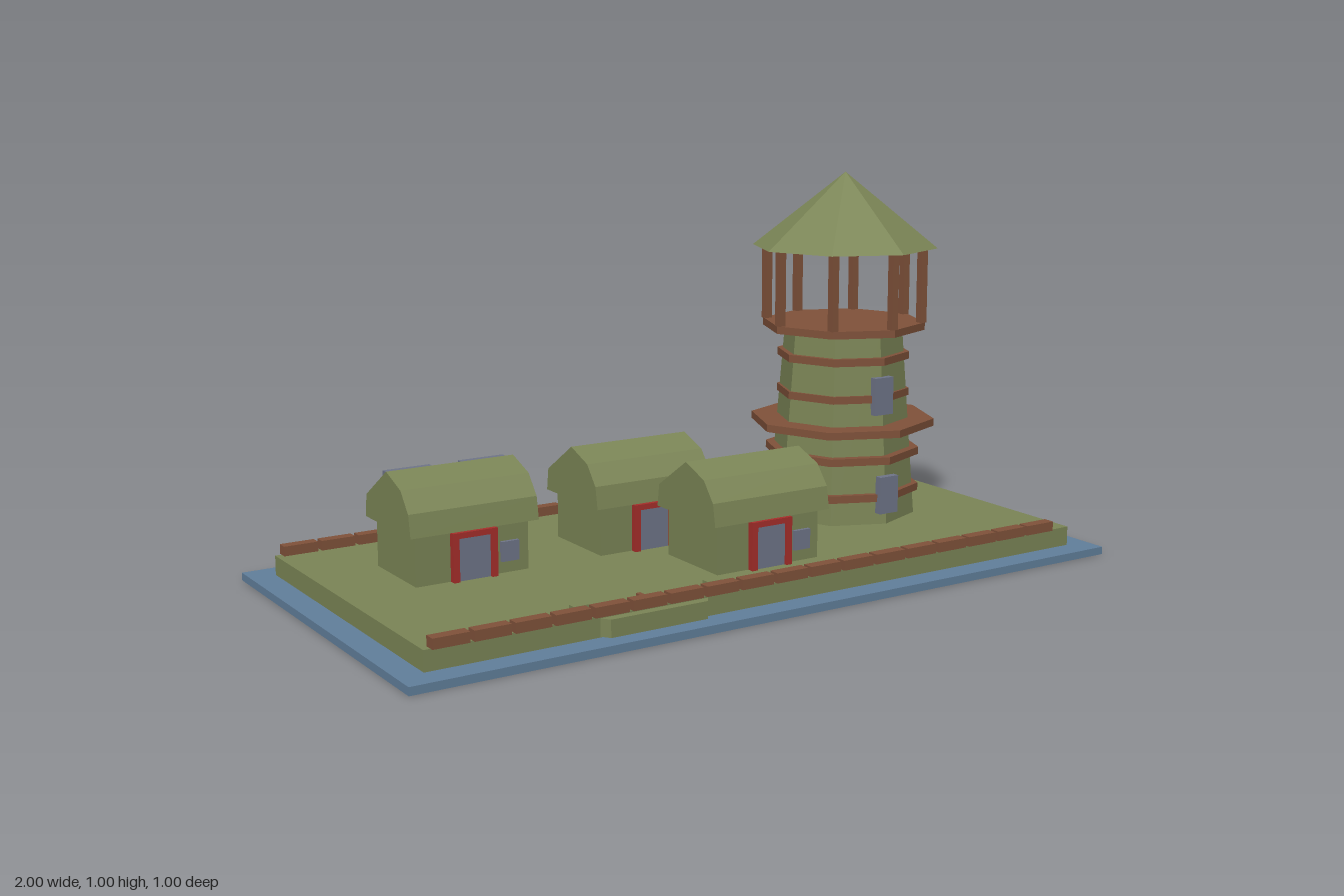
import * as THREE from 'three';

const mat = (name, color) => {
  const m = new THREE.MeshStandardMaterial({ color });
  m.name = name;
  return m;
};

export function createModel() {
  const olive = mat('olive', 0x7b8556);
  const wood = mat('wood brown', 0x80523a);
  const water = mat('water blue', 0x617f9b);
  const grey = mat('window grey', 0x6f7588);
  const red = mat('door red', 0xa62e2a);

  const model = new THREE.Group();
  model.name = 'lookoutVillage';

  const add = (parent, name, geo, material, x = 0, y = 0, z = 0) => {
    const mesh = new THREE.Mesh(geo, material);
    mesh.name = name;
    mesh.position.set(x, y, z);
    parent.add(mesh);
    return mesh;
  };
  const box = (parent, name, material, w, h, d, x, y, z) =>
    add(parent, name, new THREE.BoxGeometry(w, h, d), material, x, y, z);
  const group = (name, x, y, z) => {
    const g = new THREE.Group();
    g.name = name;
    g.position.set(x, y, z);
    model.add(g);
    return g;
  };
  // Flat-sided octagonal drum
  const octagon = (top, bottom, height) => {
    const geo = new THREE.CylinderGeometry(top, bottom, height, 8).toNonIndexed();
    geo.computeVertexNormals();
    return geo;
  };

  // Water slab and raised ground
  box(model, 'waterBase', water, 2, 0.02, 1, 0, 0.01, 0);
  box(model, 'ground', olive, 1.87, 0.05, 0.87, 0, 0.045, 0);

  // Log rows along the front and back
  for (const z of [-0.43, 0.43]) {
    for (let i = 0; i < 18; i++) {
      box(model, 'fenceLog', wood, 0.09, 0.025, 0.03, -0.873 + i * 0.1, 0.0825, z);
    }
  }

  // Tower: tapered shaft, rings, decks, posts and roof
  const tower = group('tower', 0.55, 0, -0.05);
  add(tower, 'towerShaft', octagon(0.16, 0.2, 0.505), olive, 0, 0.3225, 0);
  const rings = [
    ['towerRing', 0.21, 0.143], ['towerRing', 0.21, 0.243], ['middleDeck', 0.25, 0.323],
    ['towerRing', 0.18, 0.405], ['towerRing', 0.18, 0.505], ['topDeck', 0.22, 0.585],
  ];
  for (const [name, r, y] of rings) add(tower, name, octagon(r, r, 0.02), wood, 0, y, 0);
  for (let i = 0; i < 8; i++) {
    const a = (i * Math.PI) / 4;
    box(tower, 'roofPost', wood, 0.02, 0.2, 0.02, Math.sin(a) * 0.21, 0.695, Math.cos(a) * 0.21);
  }
  const roofGeo = new THREE.ConeGeometry(0.25, 0.2, 8).toNonIndexed();
  roofGeo.computeVertexNormals();
  add(tower, 'towerRoof', roofGeo, olive, 0, 0.895, 0);
  box(tower, 'towerDoor', grey, 0.06, 0.1, 0.02, 0, 0.151, 0.2);
  box(tower, 'towerUpperDoor', grey, 0.06, 0.1, 0.02, 0, 0.413, 0.172);

  // Roof section of a hut, front on the negative side, pushed along the ridge
  const roofShape = new THREE.Shape([
    [-0.13, 0], [-0.12, 0.057], [-0.08, 0.107], [0, 0.137], [0.122, 0.057], [0.13, 0],
  ].reverse().map(([x, y]) => new THREE.Vector2(x, y)));
  const hutRoof = new THREE.ExtrudeGeometry(roofShape, { depth: 0.34, bevelEnabled: false });
  hutRoof.translate(0, 0, -0.17).rotateY(Math.PI / 2);

  const hut = (x, z) => {
    const g = group('hut', x, 0, z);
    box(g, 'hutWalls', olive, 0.3, 0.126, 0.22, 0, 0.133, 0);
    add(g, 'hutRoof', hutRoof, olive, 0, 0.195, 0);
    for (const s of [-1, 1]) box(g, 'doorPost', red, 0.016, 0.12, 0.018, s * 0.051, 0.13, 0.119);
    box(g, 'doorLintel', red, 0.118, 0.014, 0.018, 0, 0.184, 0.119);
    box(g, 'hutDoor', grey, 0.086, 0.107, 0.01, 0, 0.1235, 0.115);
    box(g, 'hutWindow', grey, 0.047, 0.05, 0.01, 0.097, 0.125, 0.115);
    return g;
  };
  const westHut = hut(-0.605, -0.1);
  hut(-0.1, -0.1);
  hut(0.05, 0.2);

  // Skylights on the back slope of one hut
  for (const s of [-1, 1]) {
    box(westHut, 'skylight', grey, 0.122, 0.02, 0.025, s * 0.1, 0.316, -0.028);
  }

  // Small boat half sunk in the front bank
  const boat = group('boat', -0.355, 0, 0);
  const hullShape = new THREE.Shape([
    [-0.17, -0.4], [-0.13, -0.457], [0.13, -0.457], [0.17, -0.4],
  ].map(([x, y]) => new THREE.Vector2(x, y)));
  const hull = new THREE.ExtrudeGeometry(hullShape, { depth: 0.043, bevelEnabled: false });
  hull.rotateX(-Math.PI / 2);
  add(boat, 'boatHull', hull, olive, 0, 0.022, 0);
  for (const s of [-1, 1]) box(boat, 'boatTip', olive, 0.04, 0.024, 0.022, s * 0.18, 0.082, 0.4);
  box(boat, 'boatPole', wood, 0.012, 0.012, 0.08, 0, 0.076, 0.4);

  return model;
}
